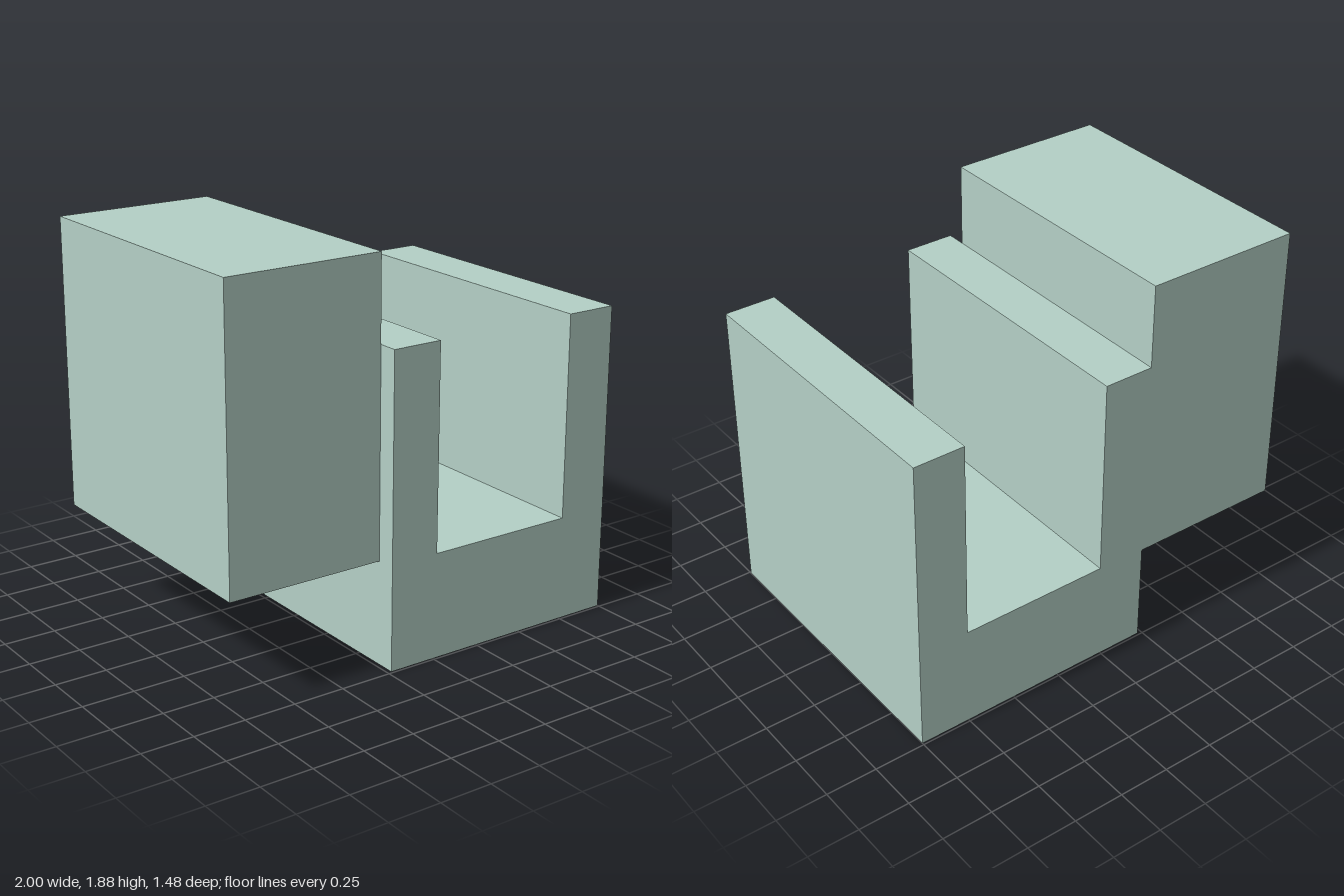
import * as THREE from 'three';

export function createModel() {
  const model = new THREE.Group();
  const material = new THREE.MeshStandardMaterial({ color: 0xb4d0c6, flatShading: true });
  const back = -0.74, front = 0.74, blockFront = 0.645;
  const left = -1, joint = -0.23, right = 1;

  // U-shaped channel, open at the top and at both ends
  const profile = new THREE.Shape([
    [joint, 0], [right, 0], [right, 1.48], [0.75, 1.48],
    [0.75, 0.505], [0.015, 0.505], [0.015, 1.48], [joint, 1.48],
  ].map(([x, y]) => new THREE.Vector2(x, y)));
  const channelGeometry = new THREE.ExtrudeGeometry(profile, { depth: front - back, bevelEnabled: false });
  channelGeometry.translate(0, 0, back);
  const channel = new THREE.Mesh(channelGeometry, material);
  channel.name = 'channel';

  // Raised block on the channel's outer wall, flush with it at the back
  const bottom = 0.495, top = 1.88;
  const block = new THREE.Mesh(
    new THREE.BoxGeometry(joint - left, top - bottom, blockFront - back), material);
  block.position.set((left + joint) / 2, (bottom + top) / 2, (back + blockFront) / 2);
  block.name = 'sideBlock';

  model.add(channel, block);
  return model;
}
